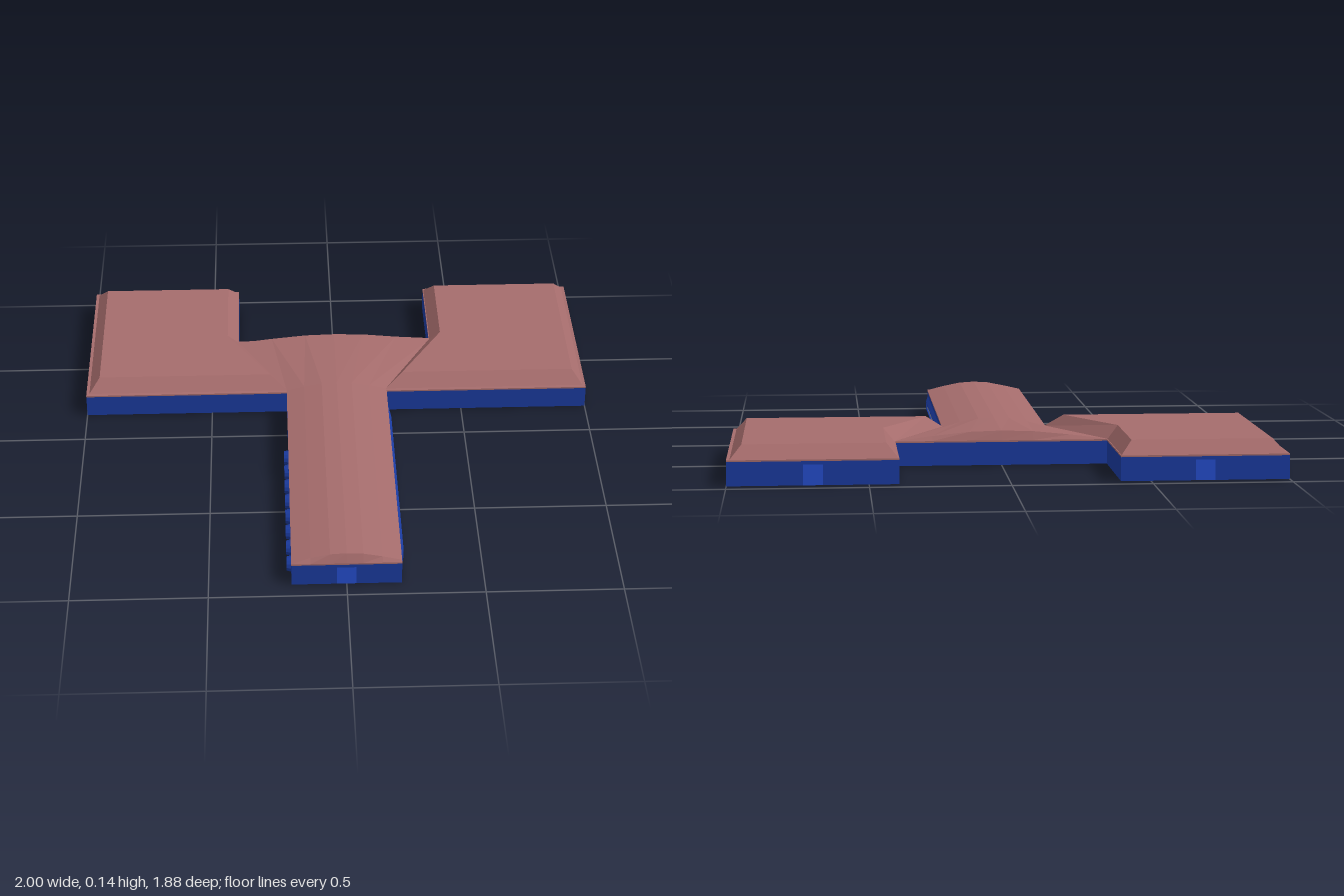
import * as THREE from 'three';

const WALL = 0.086, EAVE = 0.092, PEAK = 0.14;
const mat = (color, flat = true) =>
  new THREE.MeshStandardMaterial({ color, flatShading: flat, side: THREE.DoubleSide });

// Surface through rows of [x, y, z] points; closed joins each row's ends, cap fills the last row
function loft(rows, closed, cap) {
  const n = rows[0].length, index = [];
  for (let r = 0; r < rows.length - 1; r++) {
    for (let i = 0; i < (closed ? n : n - 1); i++) {
      const j = (i + 1) % n, a = r * n, b = a + n;
      index.push(a + i, a + j, b + j, a + i, b + j, b + i);
    }
  }
  if (cap) {
    const last = rows[rows.length - 1].map(([x, , z]) => new THREE.Vector2(x, -z));
    const base = (rows.length - 1) * n;
    for (const t of THREE.ShapeUtils.triangulateShape(last, [])) index.push(...t.map(k => base + k));
  }
  const g = new THREE.BufferGeometry();
  g.setAttribute('position', new THREE.Float32BufferAttribute(rows.flat(2), 3));
  g.setIndex(index);
  const out = g.toNonIndexed();
  out.computeVertexNormals();
  return out;
}

export function createModel() {
  const model = new THREE.Group();
  const blue = mat(0x1a3a9f), red = mat(0xa56c6c), grey = mat(0x999999);
  const add = (name, geometry, material, parent = model) => {
    const m = new THREE.Mesh(geometry, material);
    m.name = name;
    parent.add(m);
    return m;
  };

  // Plan of the building as [x, z], counterclockwise from above
  const half = [[0.2, 0.935], [0.2, -0.168], [1, -0.168], [1, -0.94], [0.393, -0.94], [0.393, -0.55]];
  const plan = [...half, ...half.map(([x, z]) => [-x, z]).reverse()];
  const planShape = new THREE.Shape(plan.map(([x, z]) => new THREE.Vector2(x, -z)));

  add('floor', new THREE.ShapeGeometry(planShape).rotateX(-Math.PI / 2), blue);

  // Hollow walls, some with a doorway; doors give the position along the wall
  const doors = { 2: 0.187 / 0.772, 3: 0.5, 7: 0.5, 8: 1 - 0.187 / 0.772, 11: 0.5 };
  const walls = new THREE.Group();
  walls.name = 'walls';
  model.add(walls);
  plan.forEach(([x, z], i) => {
    const [x2, z2] = plan[(i + 1) % plan.length];
    const dx = x2 - x, dz = z2 - z, len = Math.hypot(dx, dz);
    const s = new THREE.Shape().moveTo(0, 0);
    if (i in doors) {
      const c = doors[i] * len, w = 0.035, h = 0.074;
      s.lineTo(c - w, 0).lineTo(c - w, h).lineTo(c + w, h).lineTo(c + w, 0);
    }
    s.lineTo(len, 0).lineTo(len, WALL).lineTo(0, WALL);
    const g = new THREE.ShapeGeometry(s).rotateY(Math.atan2(-dz, dx)).translate(x, 0, z);
    add('wall', g, blue, walls);
  });

  // Thin eave slab over the walls
  add('eave', new THREE.ExtrudeGeometry(planShape, { depth: EAVE - WALL, bevelEnabled: false })
    .rotateX(-Math.PI / 2).translate(0, WALL, 0), red);

  // Bevelled roof over each wing
  const foot = [[0.988, -0.183], [0.988, -0.93], [0.396, -0.93], [0.396, -0.545], [0.197, -0.183]];
  const top = [[0.947, -0.228], [0.947, -0.887], [0.437, -0.887], [0.437, -0.52], [0.265, -0.228]];
  for (const side of [1, -1]) {
    const ring = (pts, y) => {
      const r = pts.map(([x, z]) => [side * x, y, z]);
      return side > 0 ? r : r.reverse();
    };
    add(side > 0 ? 'leftWingRoof' : 'rightWingRoof', loft([ring(foot, EAVE), ring(top, PEAK)], true, true), red);
  }

  // Low arched roof over the hall, flaring between the wings
  const arch = [[-1, 0], [-0.65, 0.5], [-0.3, 0.9], [0, 1], [0.3, 0.9], [0.65, 0.5], [1, 0]];
  const section = (w, h, z) => arch.map(([u, v]) => [u * w, EAVE + v * h, z]);
  add('hallRoof', loft([
    section(0.2, 0, 0.935), section(0.2, 0.035, 0.92), section(0.2, 0.035, -0.183),
    section(0.394, 0.035, -0.538), section(0.394, 0, -0.55),
  ], false, false), red);

  // Row of round windows on the right side of the hall
  const portholes = new THREE.Group();
  portholes.name = 'portholes';
  model.add(portholes);
  for (let i = 0; i < 8; i++) {
    const z = 0.213 + i * 0.0935;
    const profile = [[0.02, 0], [0.02, 0.012], [0.026, 0.017], [0.03, 0]].map(p => new THREE.Vector2(...p));
    add('portholeFrame', new THREE.LatheGeometry(profile, 12)
      .rotateZ(Math.PI / 2).translate(-0.2, 0.044, z), blue, portholes);
    add('portholeGlass', new THREE.CircleGeometry(0.021, 12)
      .rotateY(-Math.PI / 2).translate(-0.207, 0.044, z), grey, portholes);
  }

  // Long slot window in a tapered frame on the left side of the hall
  const frame = (x, z0, z1, y0, y1) => [[x, y0, z1], [x, y0, z0], [x, y1, z0], [x, y1, z1]];
  add('slotWindowFrame', loft([
    frame(0.2, -0.12, 0.89, 0.02, 0.07), frame(0.212, -0.035, 0.815, 0.025, 0.057),
    frame(0.212, -0.02, 0.8, 0.03, 0.052), frame(0.206, -0.02, 0.8, 0.03, 0.052),
  ], true, false), blue);
  add('slotWindowGlass', new THREE.PlaneGeometry(0.82, 0.022)
    .rotateY(Math.PI / 2).translate(0.207, 0.041, 0.39), grey);

  return model;
}
